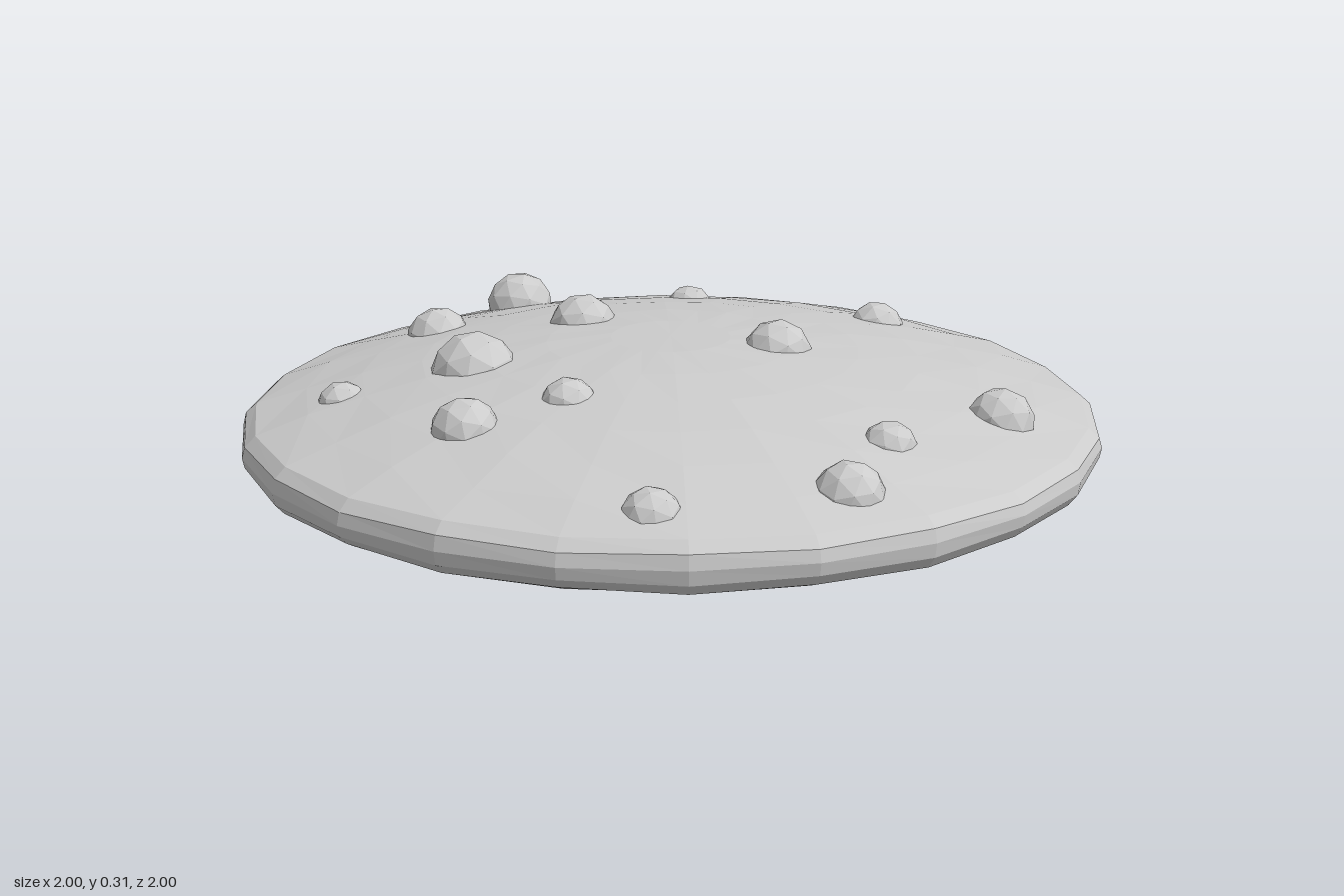
import * as THREE from 'three';

const material = new THREE.MeshStandardMaterial({ color: 0xcccccc, flatShading: true });
const domeHeight = (r) => 0.275 - 0.155 * (r / 0.97) ** 2;

// Low-poly disc: flat base, rounded rim and a shallow dome on top
function makeCookie() {
  const points = [[0, 0.005], [0.945, 0.005], [0.975, 0.018], [0.995, 0.042], [1, 0.07], [0.993, 0.098]]
    .map(([r, y]) => new THREE.Vector2(r, y));
  for (const r of [0.968, 0.85, 0.72, 0.58, 0.44, 0.29, 0.14, 0]) {
    points.push(new THREE.Vector2(r, domeHeight(r)));
  }
  const geometry = new THREE.LatheGeometry(points, 24);

  // Slight hand-made unevenness in the rim and dome; the base stays flat
  const pos = geometry.attributes.position;
  for (let i = 0; i < pos.count; i++) {
    const x = pos.getX(i), y = pos.getY(i), z = pos.getZ(i);
    const r = Math.hypot(x, z);
    if (y < 0.01 || r < 0.01) continue;
    const a = Math.atan2(x, z);
    const wobble = Math.sin(7 * a + 40 * y) * Math.cos(5 * a - 9 * r);
    pos.setY(i, y + wobble * (r > 0.95 ? 0.005 : 0.002));
  }
  geometry.computeVertexNormals();
  const mesh = new THREE.Mesh(geometry, material);
  mesh.name = 'cookie';
  return mesh;
}

// Chips: x, z, radius, height of the top
const CHIPS = [
  [-0.66, -0.40, 0.085, 0.265], [-0.665, -0.025, 0.08, 0.255],
  [-0.285, -0.085, 0.084, 0.32], [0.235, -0.085, 0.082, 0.32],
  [0.785, -0.08, 0.077, 0.232], [0.26, -0.615, 0.07, 0.247],
  [-0.235, -0.545, 0.062, 0.248], [-0.35, 0.30, 0.105, 0.308],
  [-0.02, 0.435, 0.066, 0.28], [-0.165, 0.625, 0.078, 0.264],
  [-0.585, 0.49, 0.06, 0.208], [0.655, 0.25, 0.062, 0.228],
  [0.67, 0.49, 0.077, 0.212], [0.365, 0.77, 0.066, 0.192],
];

export function createModel() {
  const model = new THREE.Group();
  model.name = 'chipCookie';
  model.add(makeCookie());

  // Faceted chips sunk into the dome, each turned differently
  const chips = new THREE.Group();
  chips.name = 'chips';
  const chipGeometry = new THREE.IcosahedronGeometry(1, 1);
  CHIPS.forEach(([x, z, radius, top], i) => {
    const chip = new THREE.Mesh(chipGeometry, material);
    chip.name = `chip${i + 1}`;
    chip.scale.setScalar(radius);
    chip.position.set(x, top - radius, z);
    chip.rotation.set(0.55 + 0.2 * Math.sin(i * 2.3), i * 1.7, 0.15 * Math.cos(i));
    chips.add(chip);
  });
  model.add(chips);
  return model;
}
